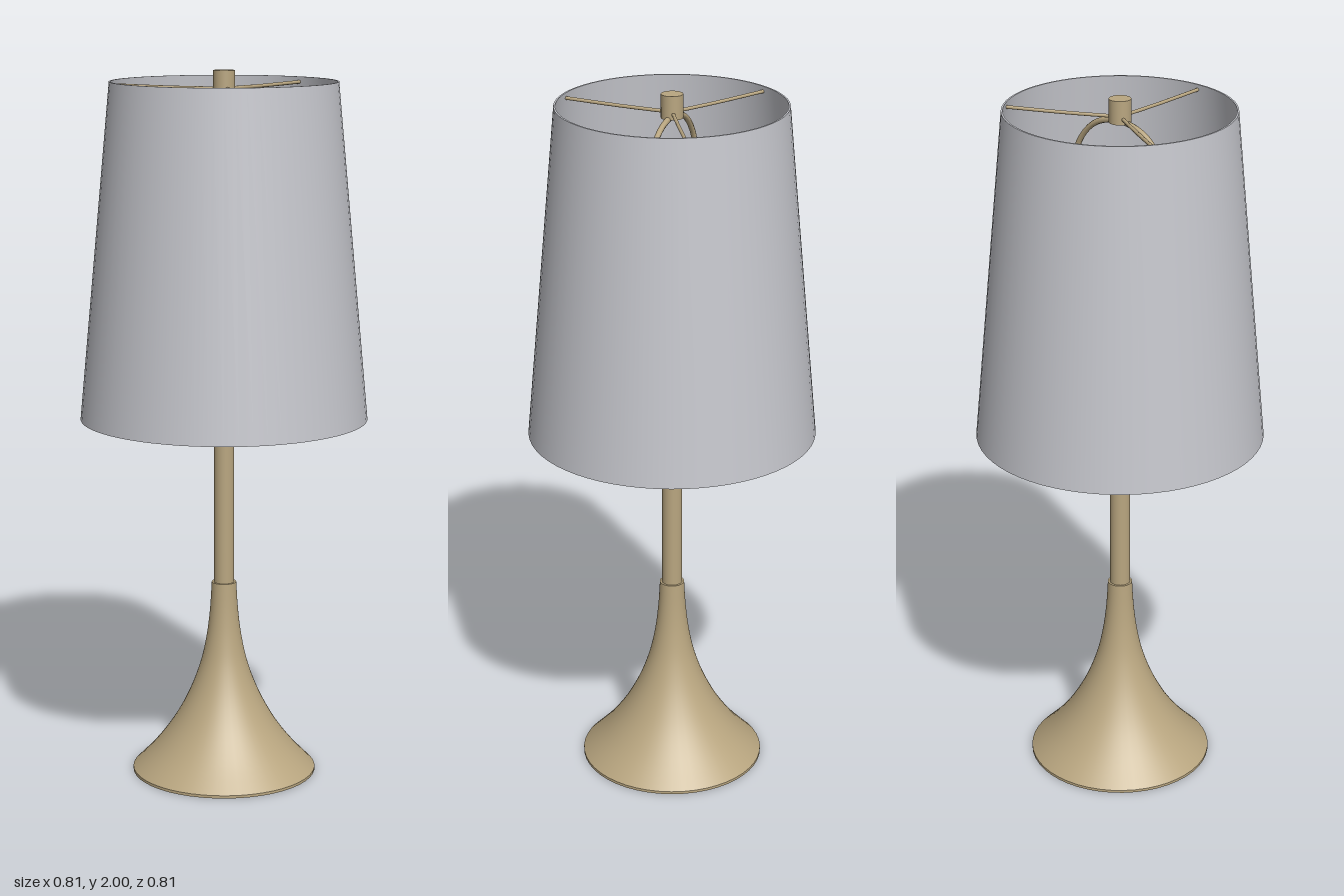
import * as THREE from 'three';

const V2 = (x, y) => new THREE.Vector2(x, y);
const V3 = (x, y, z) => new THREE.Vector3(x, y, z);

export function createModel() {
  const lamp = new THREE.Group();
  lamp.name = 'tableLamp';

  const brass = new THREE.MeshStandardMaterial({ color: 0xb9a680 });
  brass.name = 'brass';
  const fabric = new THREE.MeshStandardMaterial({ color: 0xc6c7cd });
  fabric.name = 'paleGrey';

  const add = (name, geometry, material) => {
    const mesh = new THREE.Mesh(geometry, material);
    mesh.name = name;
    lamp.add(mesh);
    return mesh;
  };
  const rod = (name, points, radius, segments) =>
    add(name, new THREE.TubeGeometry(new THREE.CatmullRomCurve3(points), segments, radius, 8), brass);
  const cylinder = (name, radius, y0, y1) =>
    add(name, new THREE.CylinderGeometry(radius, radius, y1 - y0, 32), brass)
      .position.set(0, (y0 + y1) / 2, 0);

  // Flared trumpet base with a flat underside
  const flare = new THREE.SplineCurve([
    V2(0.262, 0.008), V2(0.2, 0.073), V2(0.145, 0.147), V2(0.1, 0.23),
    V2(0.068, 0.315), V2(0.05, 0.395), V2(0.04, 0.475), V2(0.035, 0.555),
  ]).getPoints(28);
  add('base', new THREE.LatheGeometry(flare, 48), brass);
  cylinder('baseCollar', 0.035, 0.55, 0.556);
  add('baseFoot', new THREE.CylinderGeometry(0.262, 0.262, 0.008, 48), brass).position.y = 0.004;

  // Straight stem up to the socket
  cylinder('stem', 0.029, 0.54, 1.36);

  // Slim bulb
  const bulb = new THREE.SplineCurve([
    V2(0.026, 1.36), V2(0.03, 1.42), V2(0.04, 1.5), V2(0.038, 1.56), V2(0.022, 1.595), V2(0, 1.603),
  ]).getPoints(20);
  add('bulb', new THREE.LatheGeometry(bulb, 32), fabric);

  // Harp: arched wire around the bulb, from the socket to the finial
  const side = [[0.025, 1.34], [0.09, 1.37], [0.135, 1.5], [0.165, 1.66], [0.168, 1.77], [0.15, 1.85], [0.09, 1.915]];
  rod('harp', [
    ...side.map(([x, y]) => V3(-x, y, 0)),
    V3(0, 1.938, 0),
    ...side.slice().reverse().map(([x, y]) => V3(x, y, 0)),
  ], 0.008, 72);

  // Three spokes carrying the shade
  for (let i = 0; i < 3; i++) {
    const a = (i * Math.PI * 2) / 3;
    const at = (r, y) => V3(Math.sin(a) * r, y, Math.cos(a) * r);
    rod('shadeSpoke', [at(0, 1.95), at(0.15, 1.951), at(0.311, 1.955)], 0.005, 8);
  }

  // Finial
  cylinder('finial', 0.03, 1.935, 2);

  // Tapered open shade with a thin wall; each face has its own flat-ended profile
  const shade = new THREE.Group();
  shade.name = 'shade';
  lamp.add(shade);
  const wall = [V2(0.403, 1.033), V2(0.315, 1.97), V2(0.31, 1.97), V2(0.398, 1.033), V2(0.403, 1.033)];
  ['shadeOuter', 'shadeTopRim', 'shadeInner', 'shadeBottomRim'].forEach((name, i) => {
    shade.add(add(name, new THREE.LatheGeometry([wall[i], wall[i + 1]], 64), fabric));
  });

  return lamp;
}
